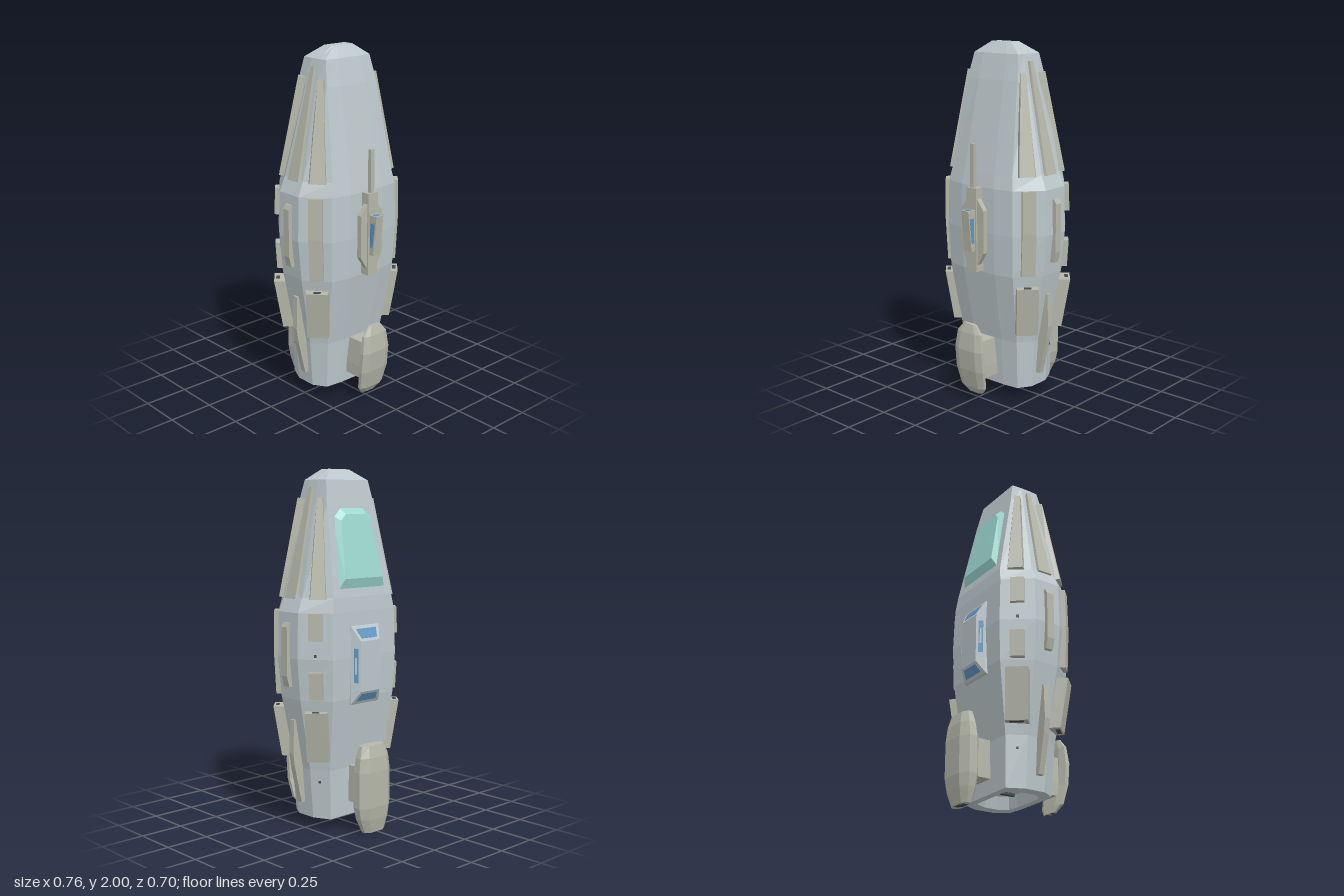
import * as THREE from 'three';

const material = (color) => new THREE.MeshStandardMaterial({ color, flatShading: true });

// Closed faceted skin over rings of [x, y, z] points, each counterclockwise seen from the far end
function loft(rings) {
  const pos = [];
  const tri = (a, b, c) => pos.push(...a, ...b, ...c);
  const n = rings[0].length;
  for (let i = 0; i < rings.length - 1; i++) {
    for (let j = 0; j < n; j++) {
      const k = (j + 1) % n;
      const [a, b, c, d] = [rings[i][j], rings[i][k], rings[i + 1][k], rings[i + 1][j]];
      tri(a, b, c);
      tri(a, c, d);
    }
  }
  const first = rings[0], last = rings[rings.length - 1];
  for (let j = 1; j < n - 1; j++) {
    tri(first[0], first[j + 1], first[j]);
    tri(last[0], last[j], last[j + 1]);
  }
  const g = new THREE.BufferGeometry();
  g.setAttribute('position', new THREE.Float32BufferAttribute(pos, 3));
  g.computeVertexNormals();
  return g;
}

// Tapered slab lying on a surface from point a to point b, raised by t along normal n
function slab(a, b, wa, wb, n, t, taper = 0.8, sink = 0.03) {
  const A = new THREE.Vector3(...a), B = new THREE.Vector3(...b);
  const N = new THREE.Vector3(...n).normalize();
  const W = B.clone().sub(A).cross(N).normalize();
  const g = new THREE.BoxGeometry(1, 1, 1).toNonIndexed();
  const p = g.attributes.position;
  for (let i = 0; i < p.count; i++) {
    const f = p.getY(i) + 0.5, outer = p.getZ(i) > 0;
    const w = (wa + (wb - wa) * f) * (outer ? taper : 1);
    const v = A.clone().lerp(B, f).addScaledVector(W, p.getX(i) * w).addScaledVector(N, outer ? t : -sink);
    p.setXYZ(i, v.x, v.y, v.z);
  }
  g.computeVertexNormals();
  return g;
}

// Ten-sided hull section: half width, front-corner half width, front, back, side edges
function section(y, hx, cx, zf, zb, sf, sb, k = 1) {
  const right = [[cx * 0.5, zf], [cx, zf * 0.92], [hx, sf], [hx, sb], [cx, zb]];
  const left = right.map(([x, z]) => [-x, z]).reverse();
  return [...right, ...left].map(([x, z]) => [x * k, y, z * k]);
}

// Eight-sided pod section with a narrow outer and inner face
function podRing(y, w, z0, z1, cx = 0) {
  const m = (z1 - z0) * 0.3;
  return [[-0.6 * w, z1], [0.6 * w, z1], [w, z1 - m], [w, z0 + m], [0.6 * w, z0], [-0.6 * w, z0], [-w, z0 + m], [-w, z1 - m]]
    .map(([x, z]) => [cx + x, y, z]);
}

export function createModel() {
  const model = new THREE.Group();
  const hullMat = material(0xbcc7cb), panelMat = material(0xb5b7a9), darkMat = material(0x45484a);
  const canopyMat = material(0x9cd9d0), glassMat = material(0x5f95c4);
  const add = (name, geometry, mat = panelMat) => {
    const mesh = new THREE.Mesh(geometry, mat);
    mesh.name = name;
    model.add(mesh);
    return mesh;
  };
  const box = (name, x0, x1, y0, y1, z0, z1, mat) =>
    add(name, new THREE.BoxGeometry(x1 - x0, y1 - y0, z1 - z0), mat)
      .position.set((x0 + x1) / 2, (y0 + y1) / 2, (z0 + z1) / 2);

  // Hull, starting inside the recessed base
  const base = [0.24, 0.195, 0.147, -0.155, 0.06, -0.06];
  add('hull', loft([
    section(0.14, ...base, 0.65),
    section(0.07, ...base, 0.72),
    section(0.07, ...base),
    section(0.35, 0.262, 0.205, 0.168, -0.162, 0.065, -0.06),
    section(0.75, 0.335, 0.232, 0.24, -0.215, 0.085, -0.065),
    section(0.98, 0.36, 0.24, 0.25, -0.225, 0.09, -0.07),
    section(1.23, 0.353, 0.235, 0.245, -0.217, 0.09, -0.07),
    section(1.31, 0.318, 0.22, 0.23, -0.21, 0.085, -0.065),
    section(1.8, 0.195, 0.18, 0.135, -0.112, 0.055, -0.03),
    section(1.94, 0.162, 0.158, 0.1, -0.082, 0.045, -0.02),
    section(2.0, 0.075, 0.07, 0.052, -0.018, 0.045, -0.015),
  ]), hullMat);
  for (const x of [-0.07, 0.07]) box('baseSlot', x - 0.012, x + 0.012, 0.125, 0.139, -0.08, 0.08, darkMat);

  // Panels mirrored on both flanks
  for (const s of [1, -1]) {
    const m = ([x, y, z]) => [s * x, y, z];
    const flank = (name, a, b, wa, wb, n, t, taper, mat, sink) =>
      add(name, slab(m(a), m(b), wa, wb, m(n), t, taper, sink), mat);
    const front = [0.72, 0, 0.69], back = [0.76, 0, -0.65];

    flank('upperFrontRib', [0.268, 1.3, 0.148], [0.185, 1.84, 0.085], 0.115, 0.04, [0.72, 0.15, 0.67], 0.024, 0.75);
    flank('upperSideRib', [0.318, 1.3, 0.018], [0.17, 1.9, 0.015], 0.115, 0.035, [1, 0.2, 0], 0.016, 0.75);
    flank('upperBackRib', [0.268, 1.3, -0.138], [0.185, 1.84, -0.065], 0.11, 0.04, [0.74, 0.15, -0.65], 0.024, 0.75);

    flank('waistFrontPanel', [0.284, 0.76, 0.155], [0.295, 1.0, 0.16], 0.085, 0.085, front, 0.026, 0.9);
    flank('waistFrontPanel', [0.295, 1.0, 0.16], [0.292, 1.23, 0.158], 0.085, 0.085, front, 0.026, 0.9);
    flank('waistBackPanel', [0.287, 0.76, -0.142], [0.294, 0.91, -0.146], 0.08, 0.08, back, 0.026, 0.95);
    flank('waistBackPanel', [0.296, 1.08, -0.146], [0.292, 1.23, -0.143], 0.08, 0.08, back, 0.026, 0.95);
    flank('sidePort', [0.299, 0.99, -0.147], [0.299, 1.006, -0.147], 0.016, 0.016, back, 0.003, 0.95, darkMat);
    flank('sidePort', [0.23, 0.275, -0.105], [0.23, 0.288, -0.105], 0.014, 0.014, back, 0.004, 0.95, darkMat);

    // Lower thruster boxes with recessed-looking outlets
    const boxes = [
      ['lowerFrontBox', [0.245, 0.41, 0.12], [0.278, 0.69, 0.152], front],
      ['lowerBackBox', [0.245, 0.41, -0.115], [0.285, 0.69, -0.14], back],
    ];
    for (const [name, a, b, n] of boxes) {
      flank(name, a, b, 0.13, 0.13, n, 0.048, 0.92);
      const at = (p, dy, off) => [p[0] + n[0] * off, p[1] + dy, p[2] + n[2] * off];
      flank('thrusterOutlet', at(a, -0.002, 0.025), at(a, 0.03, 0.025), 0.075, 0.075, n, 0.014, 1, darkMat, 0.01);
      flank('boxVent', at(b, -0.02, 0.025), at(b, 0.004, 0.025), 0.04, 0.04, n, 0.012, 1, darkMat, 0.008);
    }

    // Side bar and lower fin
    const outline = (name, pts, z0, depth) => {
      const shape = new THREE.Shape(pts.map(([x, y]) => new THREE.Vector2(s * x, y)));
      add(name, new THREE.ExtrudeGeometry(shape, { depth, bevelEnabled: false })).position.z = z0;
    };
    outline('sideBar', [[0.33, 0.82], [0.365, 0.82], [0.38, 0.88], [0.38, 1.15], [0.365, 1.175], [0.33, 1.175]], -0.008, 0.044);
    outline('lowerFin', [[0.22, 0.15], [0.272, 0.15], [0.32, 0.36], [0.332, 0.44], [0.325, 0.63], [0.27, 0.63]], 0, 0.034);
  }

  // Rear canopy
  const canopyRing = (top, shoulder, bottom) => {
    const half = [bottom, shoulder, top];
    return [...half.map(([x, y, z]) => [-x, y, z]), ...half.reverse()];
  };
  add('canopy', loft([
    canopyRing([0.09, 1.8, -0.1], [0.145, 1.75, -0.11], [0.178, 1.34, -0.195]),
    canopyRing([0.075, 1.755, -0.148], [0.112, 1.72, -0.155], [0.143, 1.41, -0.218]),
  ]), canopyMat);

  // Rear hatch: raised frame with windows on its four slopes
  const rect = (x, y0, y1, z) => [[-x, y0, z], [-x, y1, z], [x, y1, z], [x, y0, z]];
  add('hatch', loft([rect(0.11, 0.71, 1.16, -0.2), rect(0.105, 0.72, 1.15, -0.224), rect(0.072, 0.79, 1.07, -0.267)]), hullMat);
  const pane = (a, b, wa, wb, n) => add('hatchWindow', slab(a, b, wa, wb, n, 0.002, 1, 0.004), glassMat);
  pane([0, 1.135, -0.232], [0, 1.085, -0.259], 0.15, 0.115, [0, 0.47, -0.88]);
  pane([0, 0.735, -0.233], [0, 0.778, -0.259], 0.15, 0.115, [0, -0.52, -0.85]);
  for (const s of [1, -1]) {
    pane([s * 0.088, 0.84, -0.246], [s * 0.088, 1.03, -0.246], 0.026, 0.026, [s * 0.79, 0, -0.61]);
    add('hatchHandle', slab([s * 0.088, 0.89, -0.246], [s * 0.088, 0.98, -0.246], 0.012, 0.012, [s * 0.79, 0, -0.61], 0.01, 0.8), hullMat);
  }

  // Front mast with shield plate, barrel and sensor housing
  box('mast', -0.035, 0.035, 0.76, 1.23, 0.235, 0.297);
  box('barrel', -0.013, 0.013, 1.2, 1.47, 0.268, 0.29);
  const plate = [[0.035, 0.8], [0.08, 0.87], [0.08, 1.11], [0.035, 1.17]];
  const plateShape = new THREE.Shape([...plate, ...plate.map(([x, y]) => [-x, y]).reverse()].map((p) => new THREE.Vector2(...p)));
  add('shieldPlate', new THREE.ExtrudeGeometry(plateShape, { depth: 0.03, bevelEnabled: false })).position.z = 0.258;
  const block = (w, y, z0, z1) => [[-w, y, z1], [w, y, z1], [w, y, z0], [-w, y, z0]];
  add('sensorHousing', loft([block(0.026, 0.88, 0.28, 0.325), block(0.026, 1.11, 0.28, 0.35)]));
  add('sensorGlass', loft([block(0.0275, 0.925, 0.305, 0.322), block(0.0275, 1.065, 0.304, 0.338)]), glassMat);
  box('sensorTopGlass', -0.017, 0.017, 1.1, 1.112, 0.308, 0.337, glassMat);

  // Front pod: curved shell on an arm
  add('frontPod', loft([
    podRing(0.04, 0.05, 0.255, 0.285),
    podRing(0.08, 0.085, 0.263, 0.312),
    podRing(0.19, 0.1, 0.286, 0.338),
    podRing(0.31, 0.1, 0.292, 0.35),
    podRing(0.41, 0.085, 0.296, 0.338),
    podRing(0.46, 0.045, 0.302, 0.322),
  ]));
  add('frontPodArm', loft([block(0.06, 0.13, 0.13, 0.29), block(0.06, 0.2, 0.13, 0.3), block(0.05, 0.35, 0.13, 0.3)]));
  for (const x of [-0.025, 0.025]) box('podOutlet', x - 0.014, x + 0.014, 0.037, 0.05, 0.262, 0.278, darkMat);

  // Rear pod: larger block on an arm
  add('rearPod', loft([
    podRing(0.0, 0.075, -0.325, -0.265),
    podRing(0.08, 0.105, -0.342, -0.245, 0.008),
    podRing(0.15, 0.118, -0.35, -0.235, 0.01),
    podRing(0.35, 0.118, -0.35, -0.235, 0.01),
    podRing(0.43, 0.108, -0.342, -0.248, 0.012),
    podRing(0.495, 0.085, -0.325, -0.262, 0.014),
  ]));
  add('rearPodArm', loft([block(0.06, 0.15, -0.26, -0.13), block(0.06, 0.36, -0.26, -0.13)]));
  box('rearPodOutlet', -0.04, 0.04, 0, 0.012, -0.315, -0.275, darkMat);

  return model;
}
